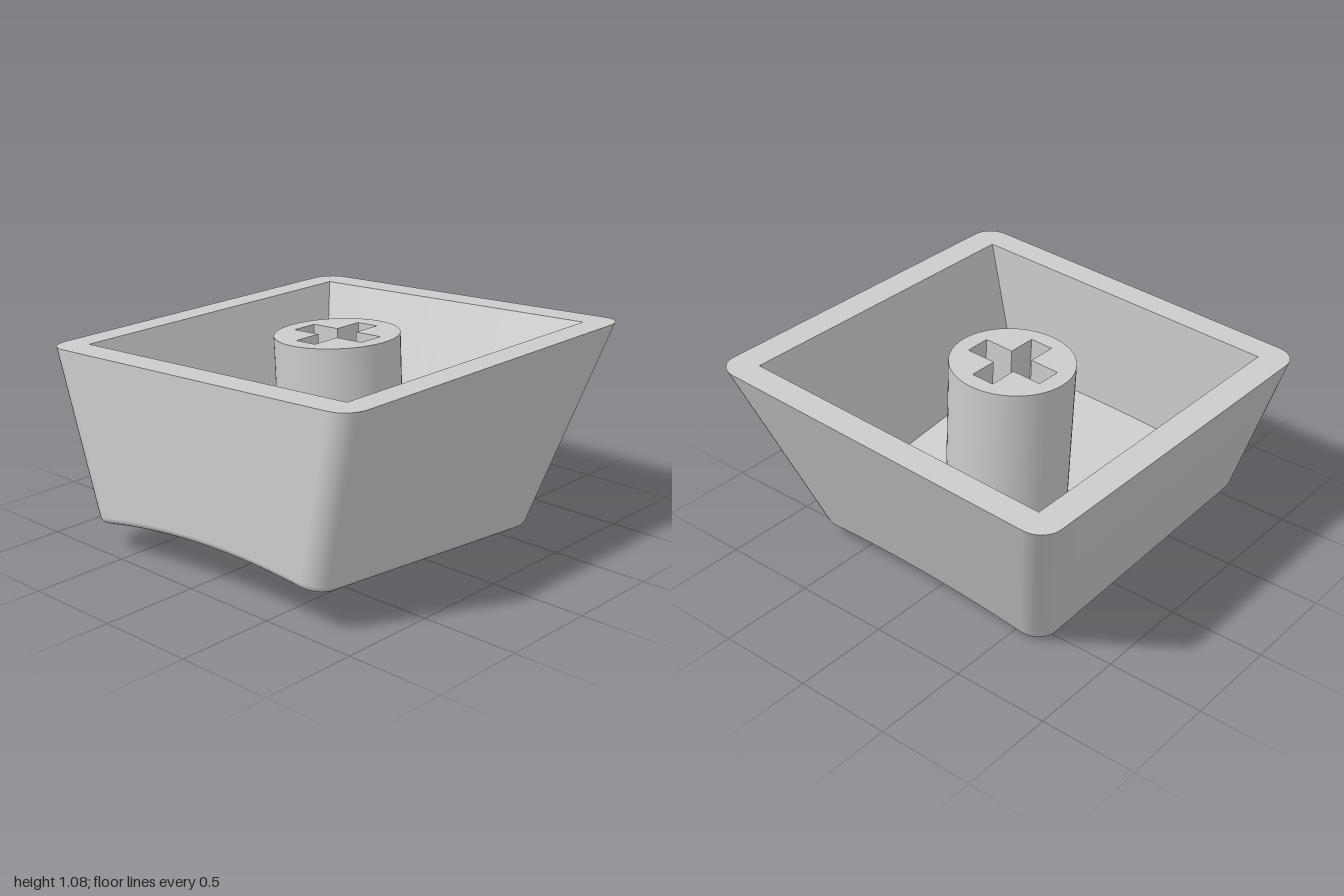
import * as THREE from 'three';
import { toCreasedNormals } from 'three/addons/utils/BufferGeometryUtils.js';

const TILT = 0.05; // slope of the rim plane along x
const rimY = (x) => 1.04 + TILT * x;

// Rounded rectangle in the xz plane; arc = 0 gives sharp corners
function ring([x0, x1, z0, z1], r, arc, side) {
  const corners = [
    [x1 - r, z1 - r, 0], [x0 + r, z1 - r, 1], [x0 + r, z0 + r, 2], [x1 - r, z0 + r, 3],
  ];
  const arcs = corners.map(([cx, cz, q]) => {
    const pts = [];
    for (let i = 0; i <= arc; i++) {
      const a = (q + (arc ? i / arc : 0)) * Math.PI / 2;
      pts.push([cx + r * Math.cos(a), cz + r * Math.sin(a)]);
    }
    return pts;
  });
  const out = [];
  arcs.forEach((pts, q) => {
    out.push(...pts);
    const a = pts[pts.length - 1], b = arcs[(q + 1) % 4][0];
    for (let i = 1; i < side; i++) {
      const t = i / side;
      out.push([a[0] + (b[0] - a[0]) * t, a[1] + (b[1] - a[1]) * t]);
    }
  });
  return out;
}

// Tapered plan at depth d below the rim: left, right and back lean in, the front is upright
const plan = (hx, hz, d, inset = 0) => [
  -hx + 0.33 * d + inset, hx - 0.215 * d - inset, -hz + 0.4 * d + inset, hz - inset,
];

// Depth below the rim of the dished outer face and of the cavity floor
const dish = (x) => 1 - ((x - 0.05) / 0.73) ** 2;
const outerDepth = (x, z) => 1.013 - 0.096 * (z + 0.6) - 0.065 * dish(x);
const floorDepth = (x, z) => 0.83 - 0.096 * (z + 0.52) - 0.03 * dish(x);

// Skin a stack of closed loops
function skin(loops, flip) {
  const n = loops[0].length, index = [];
  for (let j = 0; j < loops.length - 1; j++) {
    for (let i = 0; i < n; i++) {
      const a = j * n + i, b = j * n + (i + 1) % n, c = a + n, d = b + n;
      if (flip) index.push(a, c, b, b, c, d);
      else index.push(a, b, c, b, d, c);
    }
  }
  const geo = new THREE.BufferGeometry();
  geo.setAttribute('position', new THREE.Float32BufferAttribute(loops.flat(2), 3));
  geo.setIndex(index);
  geo.computeVertexNormals();
  return geo;
}

// Walls from the rim down to a depth surface, a rounded edge, then the closing face
function shell({ hx, hz, r, arc, side, depth, fillet, steps, flip }) {
  const start = ring(plan(hx, hz, 0), r, arc, side);
  const loops = [start.map(([x, z]) => [x, rimY(x), z])];
  let last;
  for (let s = 0; s <= steps; s++) {
    const a = steps ? s / steps * Math.PI / 2 : Math.PI / 2;
    const inset = steps ? fillet * (1 - Math.cos(a)) : 0;
    last = start.map((_, i) => {
      let d = 0.8, p;
      for (let k = 0; k < 8; k++) {
        p = ring(plan(hx, hz, d, inset), Math.max(r - inset, 0), arc, side)[i];
        d = depth(p[0], p[1]) - fillet * (1 - Math.sin(a));
      }
      return p;
    });
    loops.push(last.map(([x, z]) => [x, rimY(x) - depth(x, z) + fillet * (1 - Math.sin(a)), z]));
  }
  for (const k of [0.97, 0.85, 0.7, 0.55, 0.4, 0.25, 0.12, 0]) {
    loops.push(last.map(([px, pz]) => {
      const x = 0.05 + (px - 0.05) * k, z = 0.2 + (pz - 0.2) * k;
      return [x, rimY(x) - depth(x, z), z];
    }));
  }
  return skin(loops, flip);
}

export function createModel() {
  const group = new THREE.Group();
  const material = new THREE.MeshStandardMaterial({ color: 0xcccccc });
  const add = (name, geo) => {
    const mesh = new THREE.Mesh(geo, material);
    mesh.name = name;
    group.add(mesh);
    return mesh;
  };

  // Outer body with rounded corners and a dished underside
  add('outerShell', shell({
    hx: 0.995, hz: 1, r: 0.115, arc: 8, side: 14, depth: outerDepth, fillet: 0.035, steps: 5,
  }));

  // Sharp-cornered cavity
  add('cavity', toCreasedNormals(shell({
    hx: 0.85, hz: 0.855, r: 0, arc: 0, side: 14, depth: floorDepth, fillet: 0, steps: 0, flip: true,
  }), 0.3));

  // Flat sloping rim
  const toVec = ([x, z]) => new THREE.Vector2(x, z);
  const rimShape = new THREE.Shape(ring(plan(0.995, 1, 0), 0.115, 8, 1).map(toVec));
  rimShape.holes.push(new THREE.Path(ring(plan(0.85, 0.855, 0), 0, 0, 1).map(toVec)));
  const rim = new THREE.ShapeGeometry(rimShape).rotateX(-Math.PI / 2);
  const pos = rim.attributes.position;
  for (let i = 0; i < pos.count; i++) pos.setY(i, rimY(pos.getX(i)));
  rim.computeVertexNormals();
  add('rim', rim);

  // Round stem with a cross-shaped socket, square to the rim
  const stemShape = new THREE.Shape().absarc(0, 0, 0.31, 0, Math.PI * 2);
  const w = 0.062, h = 0.068, l = 0.222;
  stemShape.holes.push(new THREE.Path([
    [w, h], [w, l], [-w, l], [-w, h], [-l, h], [-l, -h],
    [-w, -h], [-w, -l], [w, -l], [w, -h], [l, -h], [l, h],
  ].map(toVec)));
  const stemGeo = new THREE.ExtrudeGeometry(stemShape, { depth: 0.82, bevelEnabled: false, curveSegments: 32 });
  const stem = add('stem', toCreasedNormals(stemGeo.rotateX(Math.PI / 2), 0.5));
  stem.position.y = 1.04;
  stem.rotation.z = Math.atan(TILT);

  return group;
}
